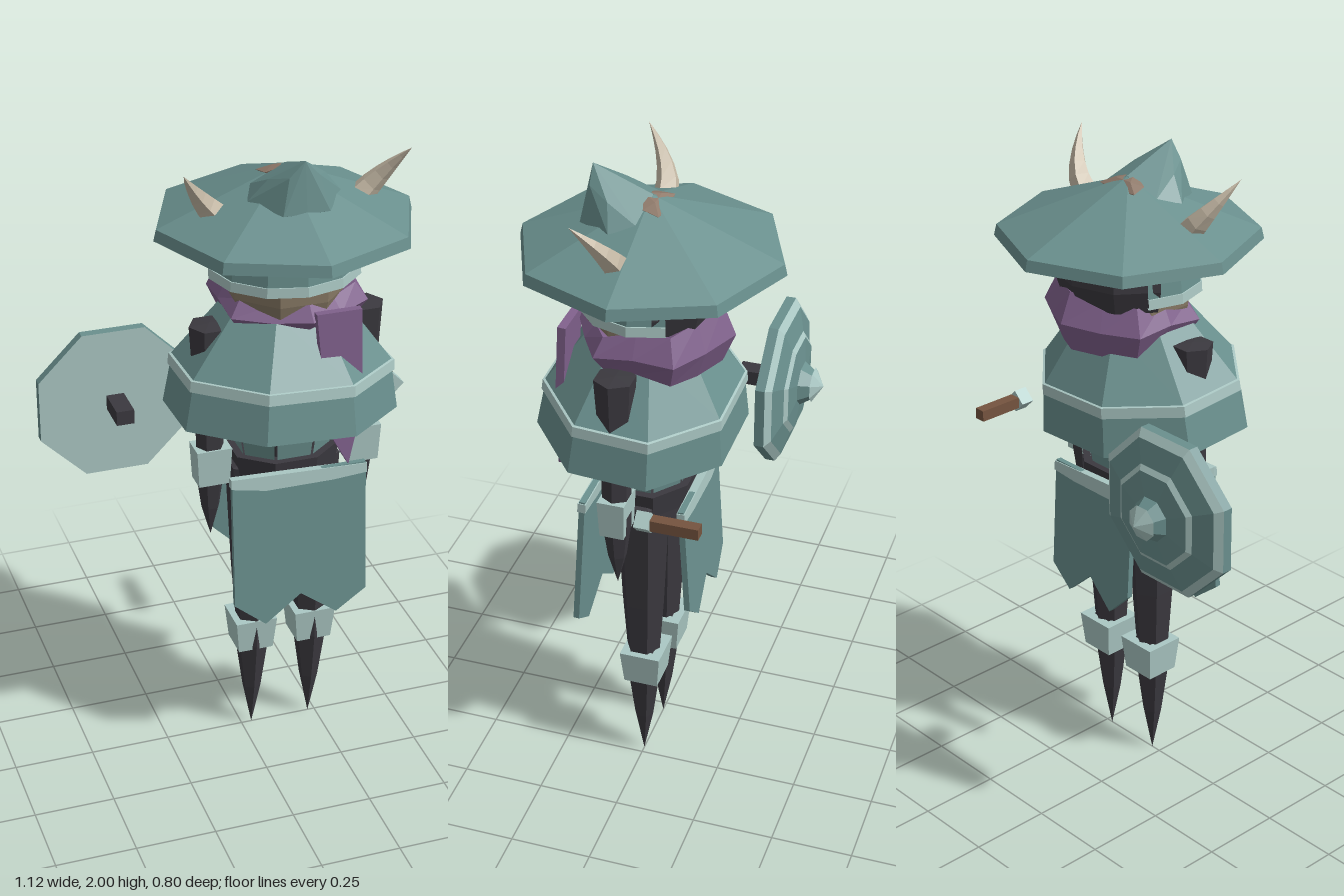
import * as THREE from 'three';
import { ConvexGeometry } from 'three/addons/geometries/ConvexGeometry.js';

const paint = (name, color) => {
  const m = new THREE.MeshStandardMaterial({ color, side: THREE.DoubleSide });
  m.name = name;
  return m;
};

export function createModel() {
  const teal = paint('teal cloth', 0x6a908e);
  const pale = paint('pale teal', 0xabc8c4);
  const dark = paint('charcoal', 0x3b393f);
  const purple = paint('purple', 0x80618c);
  const bone = paint('bone', 0xc8bca8);
  const skin = paint('skin', 0x857763);
  const tan = paint('tan ornament', 0x8f7a6b);
  const wood = paint('brown grip', 0x75543f);

  const model = new THREE.Group();
  model.name = 'wanderer';
  const body = new THREE.Group();
  body.name = 'body';
  body.position.x = 0.13;
  model.add(body);

  // Faceted mesh helper
  const add = (parent, name, geo, mat, x = 0, y = 0, z = 0) => {
    const g = geo.index ? geo.toNonIndexed() : geo;
    g.computeVertexNormals();
    const mesh = new THREE.Mesh(g, mat);
    mesh.name = name;
    mesh.position.set(x, y, z);
    parent.add(mesh);
    return mesh;
  };
  const v2 = (pts) => pts.map(([a, b]) => new THREE.Vector2(a, b));
  const v3 = (pts) => pts.map((p) => new THREE.Vector3(...p));
  const lathe = (pts, sides = 8, start = 0, length = Math.PI * 2) =>
    new THREE.LatheGeometry(v2(pts), sides, start, length);
  const FLAT = Math.PI / 8;

  // Hat with a forward-leaning crest
  add(body, 'hat', lathe([[0, 1.76], [0.22, 1.75], [0.394, 1.742], [0.386, 1.776], [0, 1.93]]), teal);
  const crest = [[0, 2, 0.17], [0, 1.93, -0.005], [0, 1.85, 0.19]];
  const ornament = [[0, 1.932, 0.025], [0, 1.892, -0.05], [0, 1.86, 0]];
  for (const s of [-1, 1]) {
    crest.push([s * 0.14, 1.862, 0.08], [s * 0.07, 1.848, 0.187], [s * 0.11, 1.882, 0.005], [s * 0.085, 1.93, 0.1], [s * 0.045, 1.952, 0.165]);
    ornament.push([s * 0.074, 1.902, -0.045], [s * 0.062, 1.91, 0.005], [s * 0.03, 1.922, -0.02]);
  }
  add(body, 'hatCrest', new ConvexGeometry(v3(crest)), teal);
  add(body, 'hatOrnament', new ConvexGeometry(v3(ornament)), tan);

  // Horns: tubes narrowed ring by ring to a point
  for (const s of [-1, 1]) {
    const curve = new THREE.QuadraticBezierCurve3(
      ...v3([[s * 0.222, 1.815, 0.028], [s * 0.28, 1.875, 0.03], [s * 0.338, 1.978, 0.12]]));
    const segs = 5, sides = 5;
    const horn = new THREE.TubeGeometry(curve, segs, 0.04, sides);
    const p = horn.attributes.position;
    for (let i = 0; i < p.count; i++) {
      const t = Math.floor(i / (sides + 1)) / segs;
      const c = curve.getPointAt(t);
      const v = new THREE.Vector3().fromBufferAttribute(p, i).lerp(c, Math.min(1, t ** 1.2));
      p.setXYZ(i, v.x, v.y, v.z);
    }
    add(body, s > 0 ? 'leftHorn' : 'rightHorn', horn, bone);
  }

  // Head, hair and neck guard open at the back
  add(body, 'head', lathe([[0.17, 1.48], [0.19, 1.56], [0.19, 1.75]], 8, FLAT), skin);
  add(body, 'hair', lathe([[0.2, 1.58], [0.222, 1.65], [0.215, 1.748]], 4, Math.PI * 0.6, Math.PI * 0.8), dark);
  const arc = [8, -Math.PI * 2 / 3, Math.PI * 4 / 3];
  add(body, 'neckGuard', lathe([[0.225, 1.63], [0.213, 1.75]], ...arc), teal).scale.z = 0.92;
  add(body, 'neckGuardTrim', lathe([[0.215, 1.602], [0.231, 1.602], [0.229, 1.632], [0.215, 1.632]], ...arc), pale).scale.z = 0.92;

  // Lumpy scarf, taller at the back
  const scarf = new THREE.TorusGeometry(0.17, 0.052, 5, 12);
  scarf.rotateX(Math.PI / 2);
  const sp = scarf.attributes.position;
  for (let i = 0; i < sp.count; i++) {
    const x = sp.getX(i), y = sp.getY(i), z = sp.getZ(i);
    const a = Math.atan2(x, z);
    const back = (1 - Math.cos(a)) / 2;
    const k = 1 + 0.065 * Math.cos(a * 6);
    sp.setXYZ(i, x * k * 1.03, y * (0.8 + 1.05 * back) + 0.008 * Math.cos(a * 4) + 0.014 * back, z * k - 0.018);
  }
  add(body, 'scarf', scarf, purple, 0.015, 1.513, 0);

  // Flat cloth panel in the xy plane
  const panel = (pts, depth) => {
    const g = new THREE.ExtrudeGeometry(new THREE.Shape(v2(pts)), { depth, bevelEnabled: false });
    return g.translate(0, 0, -depth / 2);
  };
  const tail = add(body, 'scarfTail', panel([[0.02, 0], [0.158, 0], [0.16, -0.22], [0.148, -0.36], [0.117, -0.49], [0.052, -0.37]], 0.025), purple, 0, 1.55, 0.217);
  tail.rotation.x = -0.05;

  // Cape, slightly tilted, narrower front to back, with a pale band
  const cape = new THREE.Group();
  cape.name = 'cape';
  cape.position.set(-0.016, 1.3, 0.027);
  cape.rotation.set(-0.065, 0, -0.045);
  cape.scale.z = 0.86;
  body.add(cape);
  add(cape, 'capeShoulders', lathe([[0.333, 0.03], [0.18, 0.215], [0.13, 0.23]], 8, FLAT), teal);
  add(cape, 'capeBand', lathe([[0.33, -0.004], [0.344, -0.004], [0.341, 0.029], [0.325, 0.032]], 8, FLAT), pale);
  add(cape, 'capeHem', lathe([[0.357, -0.125], [0.335, 0.002]], 8, FLAT), teal);

  // Torso, corset plates and belt
  add(body, 'torso', lathe([[0.125, 1.0], [0.155, 1.2], [0.15, 1.5]], 8, FLAT), dark).scale.z = 0.75;
  for (let i = 0; i < 8; i++) {
    const plate = lathe([[0.148, 1.025], [0.172, 1.16]], 1, (i - 0.46) * Math.PI / 4, Math.PI * 0.23);
    add(body, 'corsetPlate', plate, teal).scale.z = 0.78;
  }
  add(body, 'belt', lathe([[0, 0.95], [0.165, 0.95], [0.175, 1.025], [0, 1.025]], 8, FLAT), dark).scale.z = 0.8;

  // Front and back hanging cloths with notched hems
  const hanging = (name, w, drop, z, tilt) => {
    const g = new THREE.Group();
    g.name = name;
    g.position.set(0, 1, z);
    g.rotation.x = tilt;
    body.add(g);
    add(g, 'cloth', panel([[-w, 0], [-w, 0.08 - drop], [-w * 0.54, -drop], [0, 0.085 - drop],
      [w * 0.54, -drop], [w, 0.065 - drop], [w, 0]], 0.018), teal);
    add(g, 'clothTrim', panel([[-w - 0.003, 0.01], [-w - 0.003, -0.02], [-w * 0.5, -0.042], [w * 0.5, -0.042],
      [w + 0.003, -0.035], [w + 0.003, -0.005]], 0.025), pale);
  };
  hanging('frontCloth', 0.212, 0.5, 0.148, -0.065);
  hanging('backCloth', 0.172, 0.42, -0.142, 0.06);

  // Arms and legs with square cuffs
  const SQUARE = Math.PI / 4;
  for (const s of [-1, 1]) {
    const side = s > 0 ? 'left' : 'right';
    add(body, side + 'Arm', lathe([[0, 0.76], [0.028, 0.86], [0.042, 0.96], [0.045, 1.2], [0.062, 1.47], [0, 1.475]], 6, Math.PI / 6),
      dark, s * 0.24, 0, 0.03);
    add(body, side + 'Bracer', lathe([[0.03, 0.95], [0.068, 0.95], [0.077, 1.07], [0.03, 1.07]], 4, SQUARE),
      pale, s * 0.238, 0, 0.032).scale.z = 0.76;
    const leg = lathe([[0, 0], [0.03, 0.15], [0.053, 0.32], [0.053, 0.42], [0.066, 0.6], [0.085, 0.98], [0, 1.0]], 6);
    add(body, side + 'Leg', leg, dark, s * 0.097, 0, 0);
    add(body, side + 'Greave', lathe([[0.05, 0.31], [0.079, 0.31], [0.094, 0.42], [0.05, 0.42]], 4, SQUARE),
      pale, s * 0.097, 0, -0.008).scale.z = 0.95;
  }

  // Round shield behind the right arm, boss facing back
  const shield = new THREE.Group();
  shield.name = 'shield';
  shield.position.set(-0.323, 1.11, -0.25);
  shield.rotation.x = -Math.PI / 2;
  model.add(shield);
  const layers = [
    ['shieldInside', pale, [[0, 0], [0.257, 0]]],
    ['shieldRim', teal, [[0.257, 0], [0.257, 0.03]]],
    ['shieldOuterRing', pale, [[0.257, 0.03], [0.232, 0.047]]],
    ['shieldFace', teal, [[0.232, 0.047], [0.16, 0.066]]],
    ['shieldInnerRing', pale, [[0.16, 0.066], [0.143, 0.076]]],
    ['shieldCentre', teal, [[0.143, 0.076], [0.068, 0.085], [0.045, 0.12]]],
    ['shieldBoss', pale, [[0.04, 0.118], [0.054, 0.12], [0, 0.152]]],
  ];
  for (const [name, mat, pts] of layers) add(shield, name, lathe(pts, 8, FLAT), mat);
  add(model, 'shieldHandle', new THREE.BoxGeometry(0.055, 0.046, 0.115), dark, -0.323, 1.112, -0.193);

  // Short hilt floating beside the left arm, with a diamond guard
  const hilt = new THREE.Group();
  hilt.name = 'hilt';
  hilt.position.set(0.523, 1.112, 0);
  model.add(hilt);
  add(hilt, 'hiltGrip', new THREE.BoxGeometry(0.035, 0.035, 0.145), wood, 0, 0, -0.197);
  add(hilt, 'hiltGuard', new THREE.BoxGeometry(0.05, 0.05, 0.043), pale, 0, 0, -0.105).rotation.z = Math.PI / 4;

  return model;
}
